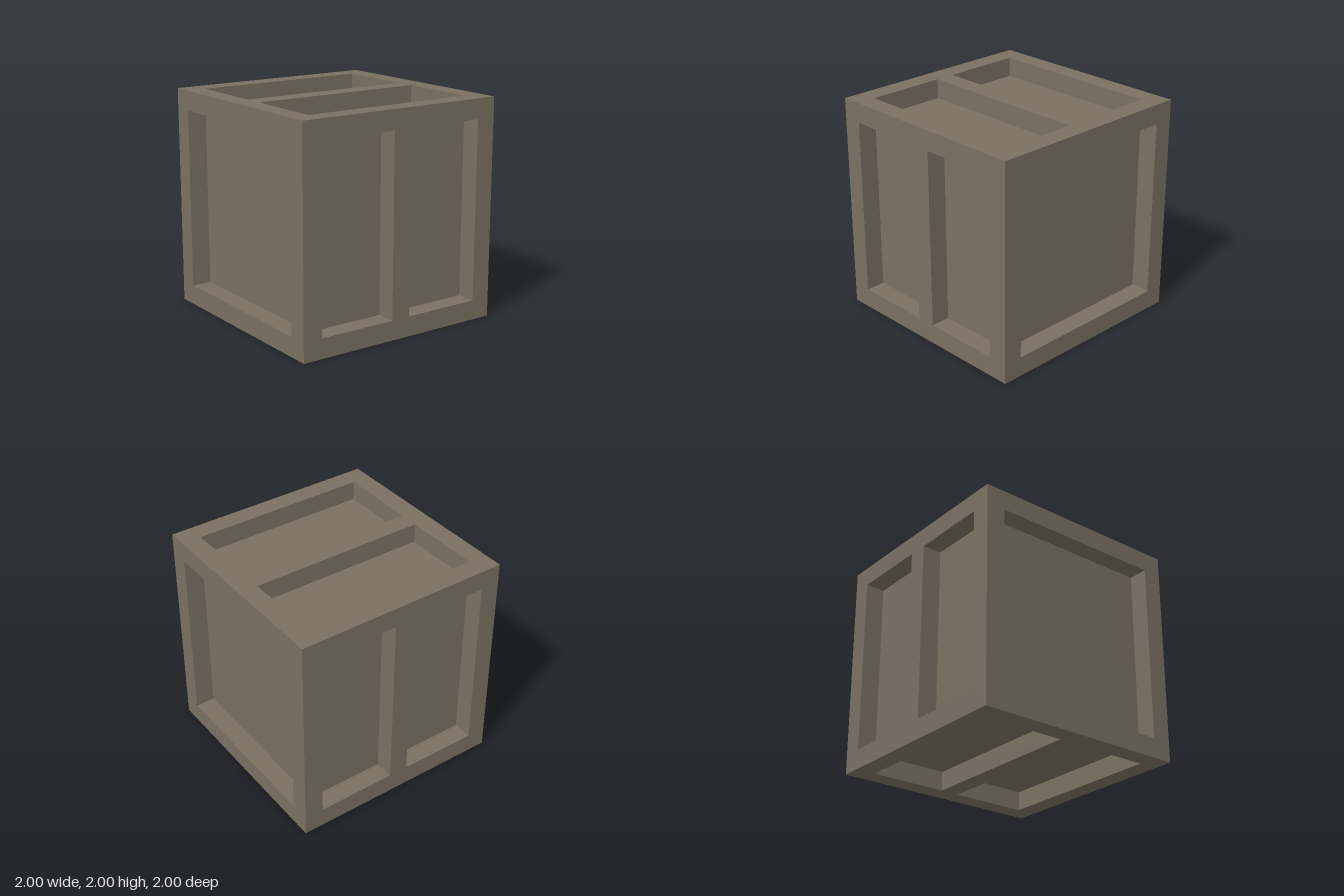
import * as THREE from 'three';
import { mergeGeometries } from 'three/addons/utils/BufferGeometryUtils.js';

const HALF = 1;      // half the crate's side
const INNER = 0.82;  // inside edge of the frame, and distance of the panels from the centre
const BAR = 0.09;    // half the width of a middle bar

const wood = new THREE.MeshStandardMaterial({ color: 0x7a7162 });
wood.name = 'weathered wood';

// Outer frame of one side, cut by its rectangular openings [x0, x1]
function frameGeometry(openings) {
  const shape = new THREE.Shape();
  shape.moveTo(-HALF, -HALF).lineTo(HALF, -HALF).lineTo(HALF, HALF).lineTo(-HALF, HALF).closePath();
  for (const [x0, x1] of openings) {
    const hole = new THREE.Path();
    hole.moveTo(x0, -INNER).lineTo(x0, INNER).lineTo(x1, INNER).lineTo(x1, -INNER).closePath();
    shape.holes.push(hole);
  }
  return new THREE.ShapeGeometry(shape).translate(0, 0, HALF);
}

// Four inward-facing walls of one opening
function wallGeometry([x0, x1]) {
  const depth = HALF - INNER, z = (HALF + INNER) / 2, width = x1 - x0, mid = (x0 + x1) / 2;
  const upright = () => new THREE.PlaneGeometry(depth, 2 * INNER);
  const level = () => new THREE.PlaneGeometry(width, depth);
  return mergeGeometries([
    upright().rotateY(Math.PI / 2).translate(x0, 0, z),
    upright().rotateY(-Math.PI / 2).translate(x1, 0, z),
    level().rotateX(-Math.PI / 2).translate(mid, -INNER, z),
    level().rotateX(Math.PI / 2).translate(mid, INNER, z),
  ]);
}

// One complete side, built facing +z and turned into place
function makeSide(name, openings, rx, ry) {
  const side = new THREE.Group();
  side.name = name;
  const add = (part, geometry) => {
    const mesh = new THREE.Mesh(geometry, wood);
    mesh.name = part;
    side.add(mesh);
  };
  add('frame', frameGeometry(openings));
  for (const opening of openings) {
    const [x0, x1] = opening;
    add('recessWalls', wallGeometry(opening));
    add('panel', new THREE.PlaneGeometry(x1 - x0, 2 * INNER).translate((x0 + x1) / 2, 0, INNER));
  }
  side.rotation.set(rx, ry, 0);
  side.position.y = HALF;
  return side;
}

export function createModel() {
  const crate = new THREE.Group();
  crate.name = 'crate';
  const single = [[-INNER, INNER]];
  const double = [[-INNER, -BAR], [BAR, INNER]];
  const q = Math.PI / 2;
  crate.add(
    makeSide('frontSide', single, 0, 0),
    makeSide('backSide', single, 0, Math.PI),
    makeSide('leftSide', double, 0, q),
    makeSide('rightSide', double, 0, -q),
    makeSide('topSide', double, -q, 0),
    makeSide('bottomSide', double, q, 0),
  );
  return crate;
}
